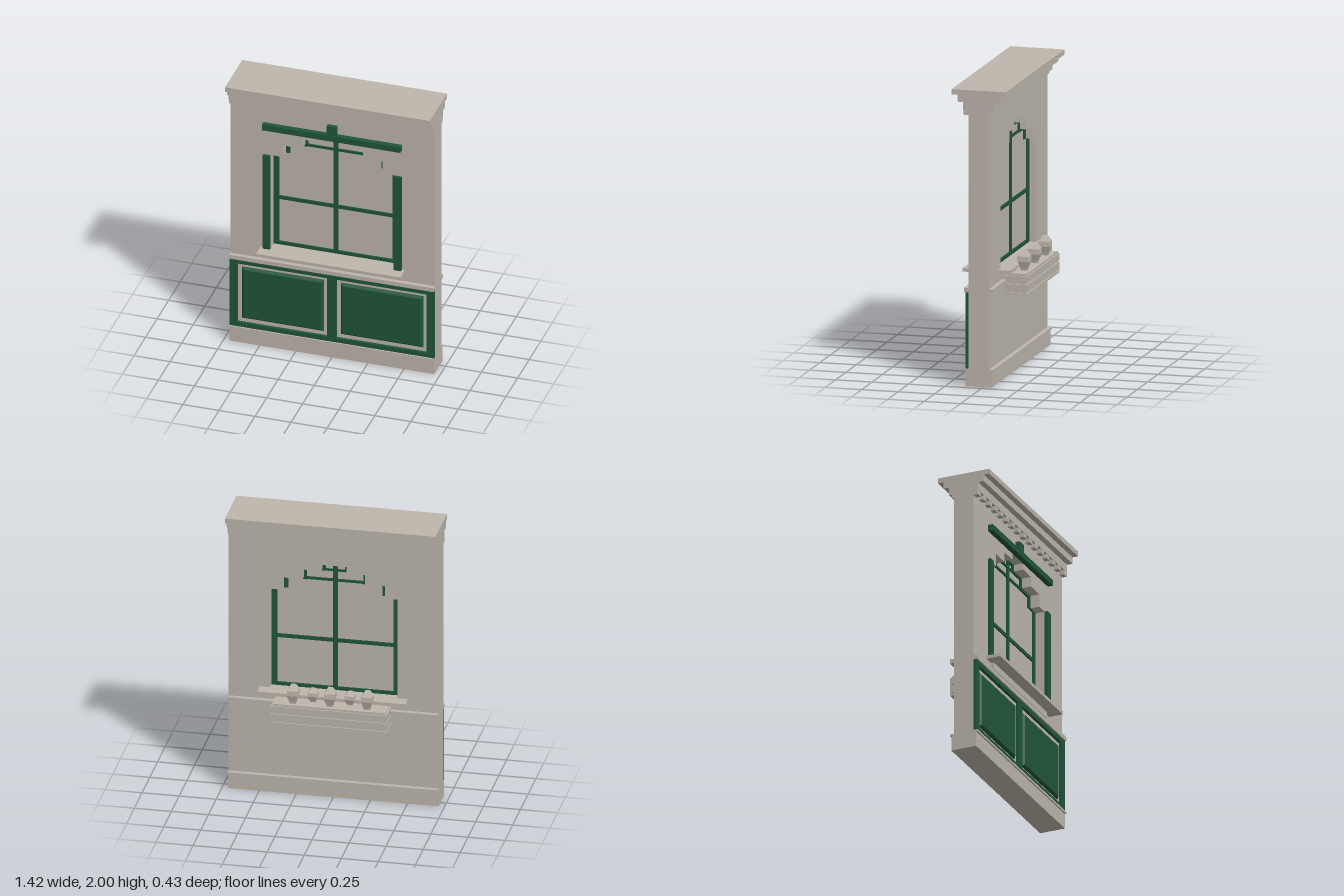
import * as THREE from 'three';

const stone = new THREE.MeshStandardMaterial({ color: 0xbdb6ab });
stone.name = 'warm grey stone';
const green = new THREE.MeshStandardMaterial({ color: 0x20553a });
green.name = 'dark green paint';

// Box given by its limits on each axis
function box(parent, name, mat, x0, x1, y0, y1, z0, z1) {
  const mesh = new THREE.Mesh(new THREE.BoxGeometry(x1 - x0, y1 - y0, z1 - z0), mat);
  mesh.position.set((x0 + x1) / 2, (y0 + y1) / 2, (z0 + z1) / 2);
  mesh.name = name;
  parent.add(mesh);
  return mesh;
}

// Symmetrical stepped outline; levels are [half width, top], going up
function steppedPoints(bottom, levels) {
  const right = [];
  let y = bottom;
  for (const [w, top] of levels) {
    right.push(new THREE.Vector2(w, y), new THREE.Vector2(w, top));
    y = top;
  }
  const left = right.map(p => new THREE.Vector2(-p.x, p.y)).reverse();
  return [...right, ...left];
}

function extrude(parent, name, mat, shape, z0, z1) {
  const geo = new THREE.ExtrudeGeometry(shape, { depth: z1 - z0, bevelEnabled: false });
  const mesh = new THREE.Mesh(geo, mat);
  mesh.position.z = z0;
  mesh.name = name;
  parent.add(mesh);
  return mesh;
}

const W = 0.71;       // half width of the wall
const FRONT = 0.1;    // wall faces
const BACK = -0.04;

function buildWall(root) {
  const opening = steppedPoints(0.75, [[0.43, 1.465], [0.345, 1.555], [0.21, 1.625], [0.085, 1.67]]);
  const shape = new THREE.Shape([[-W, 0], [W, 0], [W, 2], [-W, 2]].map(p => new THREE.Vector2(...p)));
  shape.holes.push(new THREE.Path(opening));
  extrude(root, 'wall', stone, shape, BACK, FRONT);

  // Mouldings that wrap both faces: name, y0, y1, z0, z1
  const bands = [
    ['baseboard', 0, 0.105, -0.06, 0.12],
    ['baseboardBead', 0.105, 0.12, -0.07, 0.13],
    ['chairRail', 0.635, 0.665, -0.07, 0.13],
    ['corniceLower', 1.862, 1.918, -0.075, 0.135],
    ['corniceMiddle', 1.918, 1.965, -0.115, 0.175],
    ['corniceTop', 1.965, 2, -0.157, 0.215],
  ];
  for (const [name, y0, y1, z0, z1] of bands) box(root, name, stone, -W, W, y0, y1, z0, z1);
  box(root, 'corniceBackFillet', stone, -W, W, 1.835, 1.862, -0.055, BACK);

  // Dentil row
  const count = 15, pitch = 2 * W / (count + 0.5);
  for (let i = 0; i <= count; i++) {
    const x = -W + i * pitch;
    box(root, 'dentil', stone, x, x + pitch / 2, 1.832, 1.862, FRONT, 0.133);
  }
}

function buildWindow(root) {
  const g = new THREE.Group();
  g.name = 'window';
  root.add(g);

  // Stepped sash frame set back in the opening
  const outer = steppedPoints(0.75, [[0.43, 1.465], [0.345, 1.555], [0.21, 1.625], [0.085, 1.67]]);
  const frame = new THREE.Shape(outer);
  frame.holes.push(new THREE.Path(
    steppedPoints(0.773, [[0.393, 1.463], [0.318, 1.535], [0.192, 1.609], [0.065, 1.655]])));
  extrude(g, 'sashFrame', green, frame, 0.005, 0.035);
  extrude(g, 'windowPane', stone, new THREE.Shape(outer), 0.017, 0.023);

  box(g, 'mullion', green, -0.015, 0.015, 0.76, 1.66, 0.006, 0.034);
  box(g, 'transom', green, -0.4, 0.4, 1.097, 1.122, 0.007, 0.033);
  box(g, 'upperTransom', green, -0.32, 0.32, 1.537, 1.554, 0.007, 0.033);
  box(g, 'topTransom', green, -0.2, 0.2, 1.61, 1.624, 0.007, 0.033);

  // Casings, head bar and keystone
  for (const s of [-1, 1]) {
    const c = box(g, 'casing', green, 0.43, 0.48, 0.75, 1.465, FRONT, 0.122);
    c.position.x *= s;
  }
  box(g, 'headBar', green, -0.48, 0.48, 1.668, 1.71, FRONT, 0.137);
  box(g, 'keystone', green, -0.034, 0.034, 1.7, 1.775, FRONT, 0.13);

  box(g, 'sill', stone, -0.5, 0.5, 0.727, 0.75, -0.125, 0.2);
  box(g, 'apron', stone, -0.425, 0.425, 0.68, 0.727, -0.06, 0.12);
}

// Raised panel: a box whose front face is drawn in to make a sloped border
function raisedPanel(parent, x0, x1, y0, y1) {
  const mesh = box(parent, 'raisedPanel', green, x0, x1, y0, y1, FRONT, 0.118);
  const pos = mesh.geometry.attributes.position;
  for (let i = 0; i < pos.count; i++) {
    if (pos.getZ(i) > 0) {
      pos.setX(i, pos.getX(i) - Math.sign(pos.getX(i)) * 0.016);
      pos.setY(i, pos.getY(i) - Math.sign(pos.getY(i)) * 0.016);
    }
  }
  mesh.geometry = mesh.geometry.toNonIndexed();
  mesh.geometry.computeVertexNormals();
}

function buildWainscot(root) {
  const g = new THREE.Group();
  g.name = 'wainscot';
  root.add(g);
  // Green surround with two openings that leave a stone groove round each panel
  const rect = (x0, x1, y0, y1) =>
    [[x0, y0], [x1, y0], [x1, y1], [x0, y1]].map(p => new THREE.Vector2(...p));
  const shape = new THREE.Shape(rect(-W, W, 0.12, 0.635));
  for (const [x0, x1] of [[-0.658, -0.032], [0.028, 0.658]]) {
    shape.holes.push(new THREE.Path(rect(x0, x1, 0.152, 0.602)));
    raisedPanel(g, x0 + 0.028, x1 - 0.028, 0.18, 0.574);
  }
  extrude(g, 'panelSurround', green, shape, FRONT, 0.12);
}

function buildPlanter(root) {
  const g = new THREE.Group();
  g.name = 'windowBox';
  root.add(g);
  box(g, 'boxCore', stone, -0.38, 0.38, 0.57, 0.708, -0.205, -0.065);
  box(g, 'boxBracket', stone, -0.38, 0.38, 0.6, 0.68, -0.07, BACK);
  // Horizontal boards with narrow grooves between them
  for (const [y0, y1] of [[0.563, 0.578], [0.584, 0.638], [0.645, 0.694]]) {
    box(g, 'boxBoard', stone, -0.39, 0.39, y0, y1, -0.213, -0.06);
  }

  // Four-sided faceted plants: three tall at the outside, two short between
  const plant = (name, x, z, r, h) => {
    const profile = [[0.5, 0], [0.62, 0.15], [1, 0.48], [0.95, 0.74], [0.4, 1], [0, 1]]
      .map(([a, b]) => new THREE.Vector2(a * r * Math.SQRT2, b * h));
    const geo = new THREE.LatheGeometry(profile, 4, Math.PI / 4).toNonIndexed();
    geo.computeVertexNormals();
    const mesh = new THREE.Mesh(geo, stone);
    mesh.position.set(x, 0.704, z);
    mesh.name = name;
    g.add(mesh);
  };
  for (const x of [-0.25, 0, 0.25]) plant('tallPlant', x, -0.156, 0.037, 0.134);
  for (const x of [-0.125, 0.125]) plant('shortPlant', x, -0.108, 0.033, 0.098);
}

export function createModel() {
  const root = new THREE.Group();
  root.name = 'windowWall';
  buildWall(root);
  buildWindow(root);
  buildWainscot(root);
  buildPlanter(root);
  return root;
}
